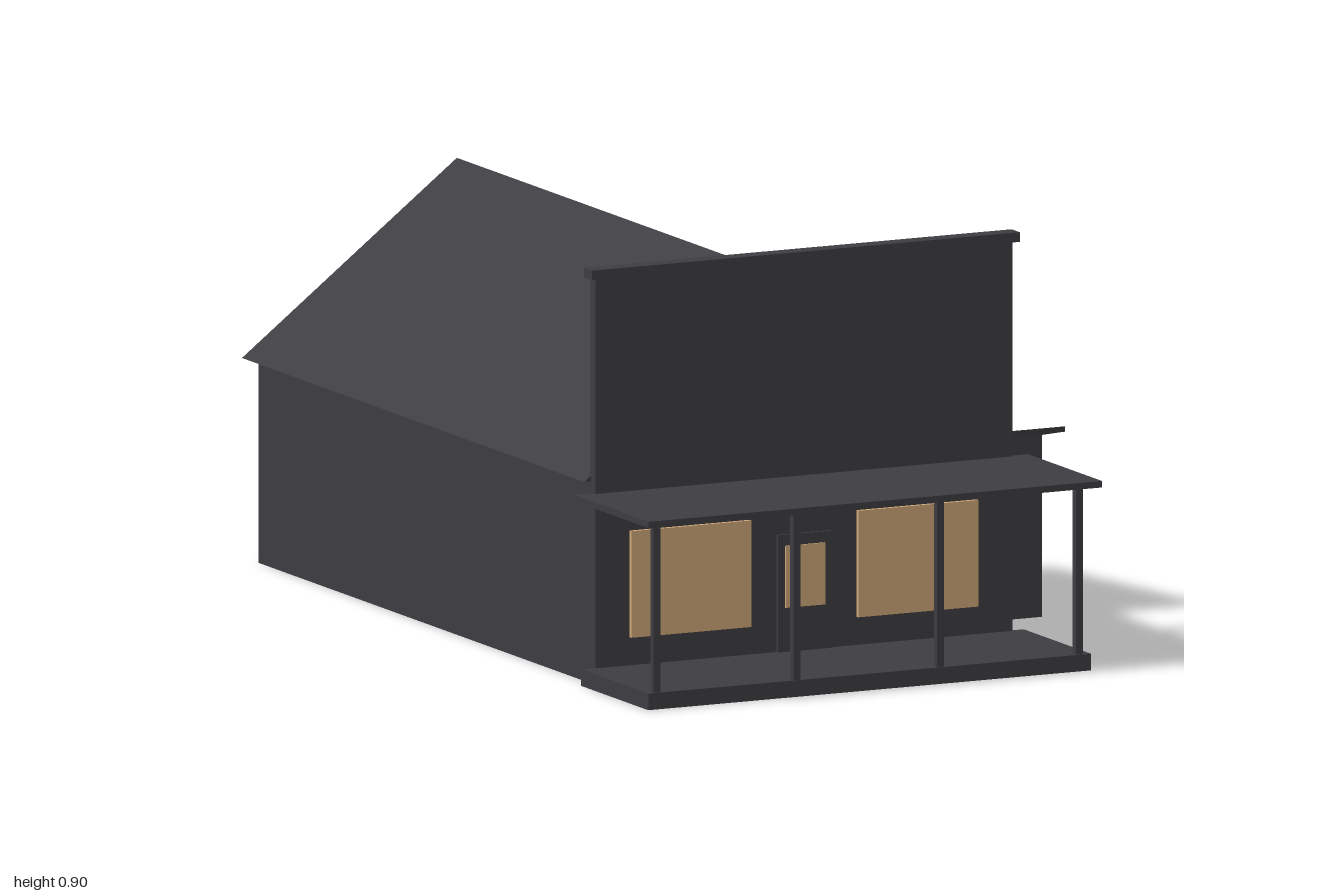
import * as THREE from 'three';

export function createModel() {
  const model = new THREE.Group();
  model.name = 'shopBuilding';

  const charcoal = new THREE.MeshStandardMaterial({ color: 0x3d3c41 });
  charcoal.name = 'charcoal';
  const warmGlass = new THREE.MeshStandardMaterial({ color: 0xcfa878 });
  warmGlass.name = 'warmGlass';

  const add = (name, geometry, material = charcoal) => {
    const mesh = new THREE.Mesh(geometry, material);
    mesh.name = name;
    model.add(mesh);
    return mesh;
  };

  // Box given by its extents along each axis
  const box = (name, [x0, x1], [y0, y1], [z0, z1], material) => {
    const g = new THREE.BoxGeometry(x1 - x0, y1 - y0, z1 - z0);
    g.translate((x0 + x1) / 2, (y0 + y1) / 2, (z0 + z1) / 2);
    return add(name, g, material);
  };

  // Extruded polygon
  const prism = (points, depth) => new THREE.ExtrudeGeometry(
    new THREE.Shape(points.map(([x, y]) => new THREE.Vector2(x, y))),
    { depth, bevelEnabled: false });

  // Side profile in (z, y), extruded from x0 to x1
  const sideProfile = (name, points, x0, x1) => {
    const g = prism(points.map(([z, y]) => [-z, y]), x1 - x0);
    g.rotateY(Math.PI / 2);
    g.translate(x0, 0, 0);
    return add(name, g);
  };

  // Main hall and its gabled roof
  box('hallWalls', [-0.603, 0.39], [0, 0.44], [-0.955, 0.635]);
  const roof = prism([[-0.62, 0.438], [0.403, 0.438], [-0.108, 0.83]], 1.635);
  roof.translate(0, 0, -1);
  add('gableRoof', roof);

  // Tall false front with cap
  box('falseFront', [-0.603, 0.39], [0, 0.885], [0.632, 0.655]);
  box('falseFrontCap', [-0.617, 0.402], [0.88, 0.901], [0.628, 0.667]);

  // Porch
  box('porchDeck', [-0.635, 0.42], [0, 0.036], [0.65, 0.972]);
  box('porchRoof', [-0.648, 0.432], [0.4, 0.414], [0.645, 1]);
  for (const x of [-0.612, -0.279, 0.063, 0.394]) {
    box('porchPost', [x - 0.008, x + 0.008], [0.036, 0.4], [0.952, 0.968]);
  }

  // Shop windows and front door
  for (const x of [-0.522, 0.019]) {
    box('shopWindow', [x, x + 0.286], [0.097, 0.328], [0.655, 0.664], warmGlass);
  }
  box('frontDoor', [-0.172, -0.043], [0.036, 0.29], [0.655, 0.662]);
  box('doorWindow', [-0.155, -0.06], [0.132, 0.266], [0.662, 0.666], warmGlass);

  // Side lean-to with a roof sloping to the back
  sideProfile('shedWalls', [[0.36, 0], [0.36, 0.396], [-0.1, 0.291], [-0.1, 0]], 0.385, 0.608);
  sideProfile('shedRoof',
    [[0.397, 0.416], [-0.147, 0.291], [-0.149, 0.28], [0.395, 0.404]], 0.36, 0.645);
  box('shedDoor', [0.606, 0.614], [0, 0.25], [-0.01, 0.265]);

  // Side shutter, partly behind the lean-to
  box('sideShutter', [0.388, 0.396], [0.135, 0.303], [-0.208, 0]);

  return model;
}
